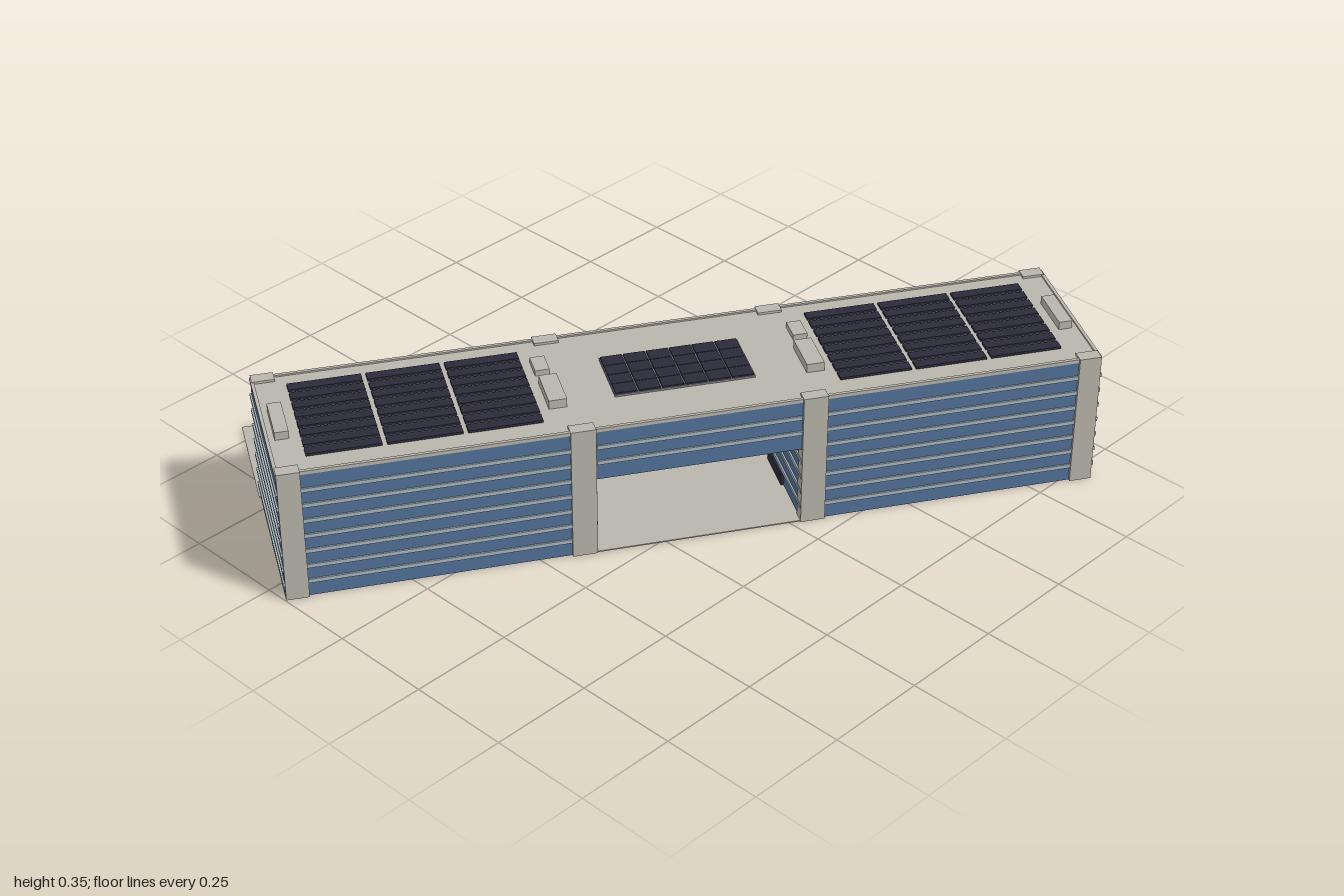
import * as THREE from 'three';

const mat = (name, color) => {
  const m = new THREE.MeshStandardMaterial({ color });
  m.name = name;
  return m;
};

export function createModel() {
  const concrete = mat('concrete', 0xb9b6ac);
  const glass = mat('blueGlass', 0x527299);
  const fin = mat('paleFin', 0xa9b7c0);
  const slate = mat('slateUnderside', 0x8d959c);
  const solar = mat('solarDark', 0x2b2a3a);
  const steel = mat('steelGrey', 0x85868b);
  const darkSteel = mat('darkSteel', 0x4c4f56);
  const screenBlack = mat('screenBlack', 0x1c1c22);

  const model = new THREE.Group();
  model.name = 'officeBuilding';
  const site = new THREE.Group();
  site.name = 'site';
  site.rotation.y = -0.5466; // the long axis runs diagonally
  model.add(site);

  // Box given by its minimum and maximum along each axis
  const box = (name, m, x0, x1, y0, y1, z0, z1) => {
    const g = new THREE.BoxGeometry(x1 - x0, y1 - y0, z1 - z0);
    const mesh = new THREE.Mesh(g, m);
    mesh.position.set((x0 + x1) / 2, (y0 + y1) / 2, (z0 + z1) / 2);
    mesh.name = name;
    site.add(mesh);
    return mesh;
  };
  // Same box on both sides of the long axis centre
  const pair = (name, m, x0, x1, ...rest) => {
    box(name + 'Left', m, x0, x1, ...rest);
    box(name + 'Right', m, -x1, -x0, ...rest);
  };

  const FRONT = 0.347, BACK = -0.049, H = 0.328, FLOOR = H / 8, P = 0.004;
  const BRIDGE = 0.2;

  // Ground
  box('plaza', concrete, -0.957, 0.957, 0, 0.003, -0.351, BACK - P);
  box('passageGround', concrete, -0.243, 0.243, 0, 0.003, BACK - P, FRONT + P);

  // Glass towers, with raised undersides and a skirt down to the ground
  const coreMats = [glass, glass, glass, slate, glass, glass];
  pair('tower', coreMats, 0.243, 0.953, 0.015, H, BACK, FRONT);
  pair('frontSkirt', glass, 0.243, 0.953, 0, 0.015, FRONT - 0.006, FRONT);
  pair('backSkirt', glass, 0.243, 0.953, 0, 0.015, BACK, BACK + 0.006);
  pair('outerSkirt', glass, 0.947, 0.953, 0, 0.015, BACK + 0.006, FRONT - 0.006);
  pair('innerSkirt', glass, 0.243, 0.249, 0, 0.015, BACK + 0.006, FRONT - 0.006);

  // Bridge over the passage
  box('bridge', [glass, glass, glass, concrete, glass, glass],
    -0.243, 0.243, BRIDGE, H, BACK, FRONT);

  // Horizontal fins at each floor
  for (let i = 1; i < 8; i++) {
    const y = i * FLOOR;
    pair('towerFin' + i, fin, 0.243 - P, 0.957, y - 0.005, y + 0.005, BACK - P, FRONT + P);
    if (y > BRIDGE + 0.01)
      box('bridgeFin' + i, fin, -0.238, 0.238, y - 0.005, y + 0.005, BACK - P, FRONT + P);
  }

  // Columns on both long faces
  for (const [x0, x1] of [[0.9, 0.9525], [0.24, 0.298]]) {
    pair('frontColumn', concrete, x0, x1, 0, 0.339, FRONT - 0.024, FRONT + 0.007);
    pair('backColumn', concrete, x0, x1, 0, 0.339, BACK - 0.007, BACK + 0.024);
  }

  // Roof and its low edge
  box('roof', concrete, -0.955, 0.955, H, 0.333, BACK - 0.002, FRONT + 0.002);
  pair('endParapet', concrete, 0.947, 0.955, 0.333, 0.337, BACK, FRONT);
  box('frontParapet', concrete, -0.947, 0.947, 0.333, 0.337, FRONT - 0.006, FRONT + 0.002);
  box('backParapet', concrete, -0.947, 0.947, 0.333, 0.337, BACK - 0.002, BACK + 0.006);

  // Solar arrays on the towers: three columns of eight strips
  for (let c = 0; c < 3; c++) {
    for (let r = 0; r < 8; r++) {
      const x = 0.345 + c * 0.181, z = 0.001 + r * 0.0374;
      pair('solarStrip', solar, x, x + 0.17, 0.334, 0.34, z, z + 0.027);
    }
  }
  // Central solar array on a frame
  box('solarFrame', steel, -0.167, 0.162, 0.333, 0.338, 0.07, 0.229);
  for (let c = 0; c < 6; c++) {
    for (let r = 0; r < 4; r++) {
      const x = -0.165 + c * 0.0545, z = 0.072 + r * 0.039;
      box('centralSolarPanel', solar, x, x + 0.051, 0.338, 0.342, z, z + 0.0375);
    }
  }

  // Rooftop plant boxes
  pair('endPlantBox', concrete, 0.902, 0.934, 0.333, 0.353, 0.09, 0.21);
  pair('largePlantBox', concrete, 0.28, 0.322, 0.333, 0.355, 0.132, 0.24);
  pair('smallPlantBox', concrete, 0.289, 0.323, 0.333, 0.347, 0.042, 0.1);

  // Entrance doors on the passage walls
  pair('entranceDoor', solar, 0.236, 0.243, 0.003, 0.032, 0.094, 0.206);

  // Hanging screen under the bridge, its face towards the plaza
  box('screenCase', steel, -0.21, 0.09, 0.1, 0.187, 0.092, 0.147);
  box('screenFace', screenBlack, -0.203, 0.083, 0.106, 0.181, 0.089, 0.092);
  for (const x of [-0.14, 0.02])
    box('screenHanger', darkSteel, x - 0.003, x + 0.003, 0.187, BRIDGE, 0.117, 0.123);

  const pole = (name, x, z, h, r) => {
    const m = new THREE.Mesh(new THREE.CylinderGeometry(r, r, h, 8), darkSteel);
    m.position.set(x, h / 2, z);
    m.name = name;
    site.add(m);
  };

  // Entrance canopy on slim legs
  box('canopy', darkSteel, -0.122, 0.116, 0.044, 0.051, -0.086, -0.05);
  for (const x of [-0.09, 0.085]) pole('canopyLeg', x, -0.068, 0.045, 0.003);

  // Row of flag poles, paving strip and bench on the plaza
  for (let i = 0; i < 4; i++) pole('flagPole', -0.15 + i * 0.09, -0.204, 0.095, 0.002);
  box('pavingStrip', steel, -0.013, -0.003, 0.003, 0.005, -0.349, -0.07);
  box('bench', concrete, -0.505, -0.417, 0.003, 0.012, -0.294, -0.28);

  return model;
}
